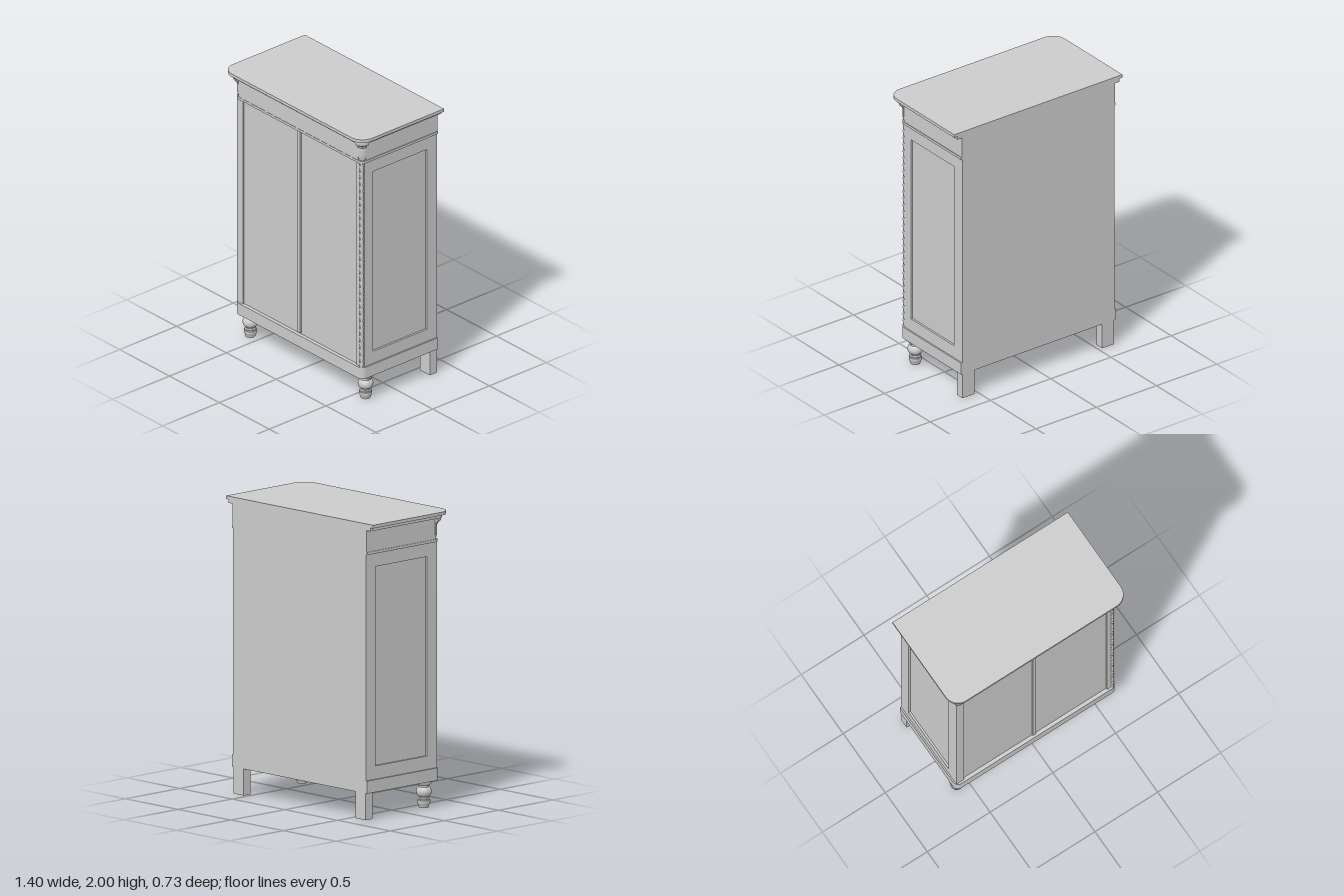
import * as THREE from 'three';
import { toCreasedNormals } from 'three/addons/utils/BufferGeometryUtils.js';

const mat = new THREE.MeshStandardMaterial({ color: 0xcccccc });
const thinMat = new THREE.MeshStandardMaterial({ color: 0xcccccc, side: THREE.DoubleSide });
const BACK = -0.365, CX = 0.6, CZ = 0.267; // back plane and centre of the rounded front corners

export function createModel() {
  const model = new THREE.Group();

  const add = (name, geo, material = mat) => {
    const mesh = new THREE.Mesh(geo, material);
    mesh.name = name;
    model.add(mesh);
    return mesh;
  };

  // box given by its limits
  const box = (name, x0, x1, y0, y1, z0, z1) => {
    const g = new THREE.BoxGeometry(x1 - x0, y1 - y0, z1 - z0);
    g.translate((x0 + x1) / 2, (y0 + y1) / 2, (z0 + z1) / 2);
    return add(name, g);
  };

  // slab whose two front corners are rounded with radius r
  const roundedSlab = (name, r, y0, y1) => {
    const s = new THREE.Shape();
    s.moveTo(CX + r, -BACK);
    s.lineTo(-CX - r, -BACK);
    s.lineTo(-CX - r, -CZ);
    s.absarc(-CX, -CZ, r, Math.PI, Math.PI * 1.5, false);
    s.lineTo(CX, -CZ - r);
    s.absarc(CX, -CZ, r, Math.PI * 1.5, Math.PI * 2, false);
    const g = new THREE.ExtrudeGeometry(s, { depth: y1 - y0, bevelEnabled: false, curveSegments: 12 });
    g.rotateX(-Math.PI / 2).translate(0, y0, 0);
    return add(name, toCreasedNormals(g, 0.6));
  };

  const profile = pts => pts.map(([r, y]) => new THREE.Vector2(r, y));

  // plinth, strip under the frieze, cornice band and top
  roundedSlab('plinth', 0.04, 0.18, 0.265);
  roundedSlab('friezeStrip', 0.04, 1.79, 1.808);
  roundedSlab('corniceBand', 0.072, 1.955, 1.978);
  roundedSlab('top', 0.098, 1.978, 2);

  // frieze, with its front corners left free for the turned corner pieces
  box('friezeFront', -CX, CX, 1.808, 1.955, CZ - 0.02, CZ + 0.038);
  box('friezeSides', -CX - 0.035, CX + 0.035, 1.808, 1.955, BACK, CZ);

  // quarter-turned capitals on the front corners
  const capital = profile([
    [0.03, 1.808], [0.033, 1.822], [0.038, 1.835], [0.039, 1.86], [0.039, 1.905], [0.044, 1.91],
    [0.044, 1.92], [0.05, 1.925], [0.062, 1.932], [0.066, 1.942], [0.066, 1.955],
  ]);
  const endShape = new THREE.Shape([new THREE.Vector2(0, 1.808), ...capital, new THREE.Vector2(0, 1.955)]);
  for (const side of [1, -1]) {
    const start = side > 0 ? 0 : Math.PI * 1.5;
    const turned = new THREE.LatheGeometry(capital, 12, start, Math.PI / 2);
    add('capital', toCreasedNormals(turned, 0.7), thinMat).position.set(side * CX, 0, CZ);
    for (const phi of [start, start + Math.PI / 2]) {
      const end = add('capitalEnd', new THREE.ShapeGeometry(endShape), thinMat);
      end.rotation.y = phi - Math.PI / 2;
      end.position.set(side * CX, 0, CZ);
    }
  }

  // carcass and doors with the covering strip where they meet
  box('carcass', -0.616, 0.616, 0.265, 1.79, BACK, 0.272);
  box('leftDoor', -0.0075, 0.57, 0.265, 1.79, 0.26, 0.281);
  box('rightDoor', -0.57, -0.0075, 0.265, 1.79, 0.26, 0.281);
  box('doorStrip', -0.02, 0.005, 0.275, 1.78, 0.27, 0.293);
  // corner stiles; the one with the column is narrower
  box('plainStile', -0.63, -0.57, 0.265, 1.79, 0.26, 0.293);
  box('columnStile', 0.57, 0.6, 0.265, 1.79, 0.26, 0.293);

  // side frames around sunken panels
  const frame = new THREE.Shape([[BACK, 0.265], [0.273, 0.265], [0.273, 1.79], [BACK, 1.79]]
    .map(p => new THREE.Vector2(...p)));
  frame.holes.push(new THREE.Path([[-0.275, 0.355], [-0.275, 1.7], [0.2, 1.7], [0.2, 0.355]]
    .map(p => new THREE.Vector2(...p))));
  for (const x of [0.63, -0.6]) {
    const g = new THREE.ExtrudeGeometry(frame, { depth: 0.03, bevelEnabled: false });
    g.rotateY(-Math.PI / 2).translate(x, 0, 0);
    add('sideFrame', g);
  }

  // twisted corner column
  const height = 1.525, beads = 30;
  const column = new THREE.CylinderGeometry(0.0125, 0.0125, height, 14, beads * 8, true);
  const p = column.attributes.position;
  for (let i = 0; i < p.count; i++) {
    const x = p.getX(i), y = p.getY(i), z = p.getZ(i);
    const k = 1 + 0.22 * Math.cos(2 * Math.atan2(x, z) + (y / height) * beads * Math.PI * 2);
    p.setX(i, x * k);
    p.setZ(i, z * k);
  }
  column.computeVertexNormals();
  add('twistedColumn', column).position.set(0.614, 0.265 + height / 2, 0.286);

  // turned front feet and square back feet
  const foot = profile([
    [0, 0], [0.033, 0], [0.036, 0.018], [0.04, 0.022], [0.043, 0.035], [0.043, 0.05], [0.039, 0.054],
    [0.039, 0.06], [0.032, 0.066], [0.032, 0.074], [0.043, 0.082], [0.05, 0.095], [0.052, 0.108],
    [0.05, 0.121], [0.043, 0.133], [0.036, 0.14], [0.036, 0.152], [0.045, 0.157], [0.05, 0.165], [0.05, 0.18],
  ]);
  for (const side of [1, -1]) {
    add('frontFoot', toCreasedNormals(new THREE.LatheGeometry(foot, 28), 0.7)).position.set(side * 0.578, 0, 0.22);
    const inner = side * 0.53, outer = side * 0.628;
    box('backFoot', Math.min(inner, outer), Math.max(inner, outer), 0, 0.18, BACK, -0.302);
  }

  return model;
}
